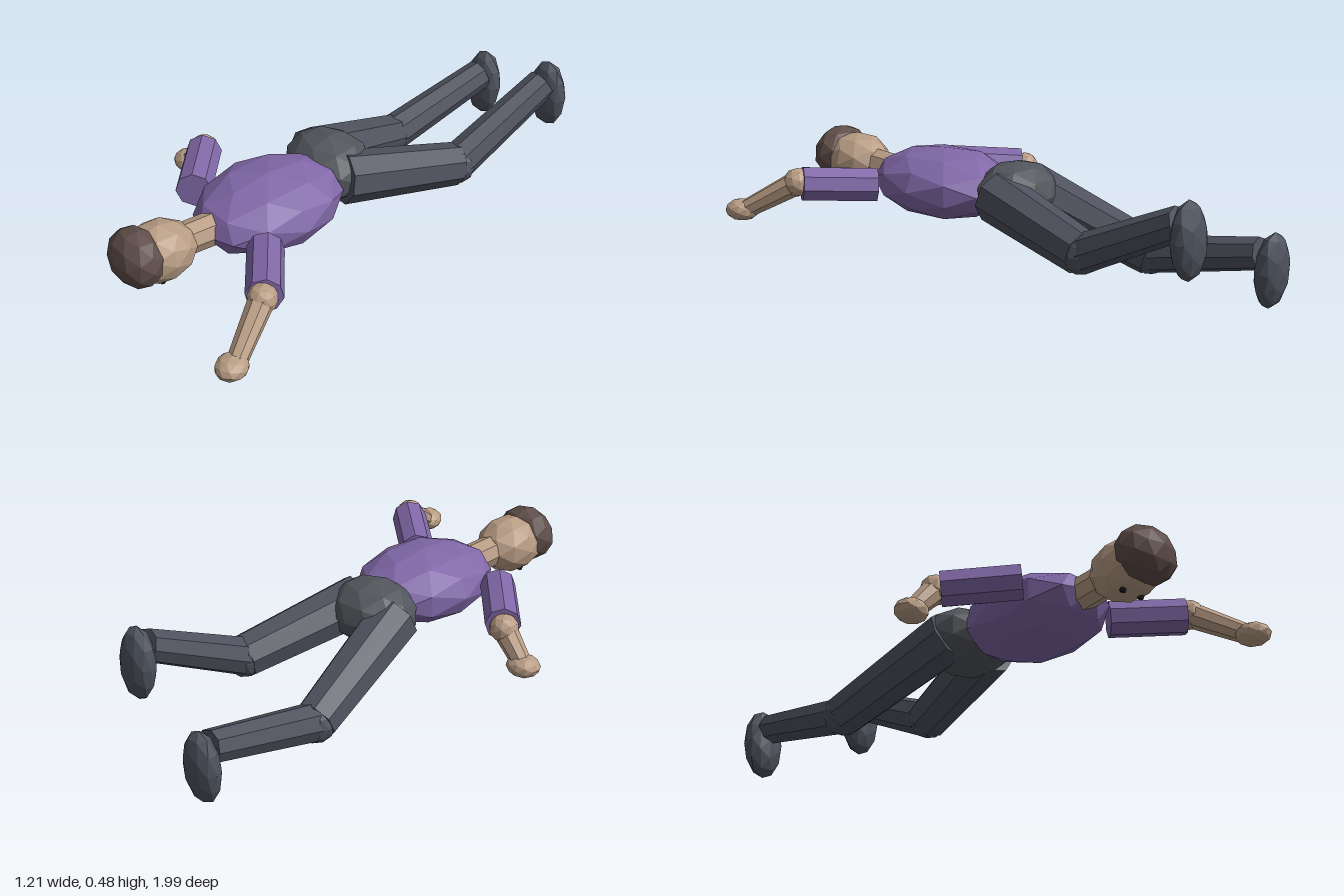
import * as THREE from 'three';

const mat = (name, color) => {
  const m = new THREE.MeshStandardMaterial({ color, flatShading: true });
  m.name = name;
  return m;
};

export function createModel() {
  const root = new THREE.Group();
  root.name = 'lyingFigure';

  const skin = mat('skin', 0xb89c84);
  const shirt = mat('purple shirt', 0x8168a8);
  const trousers = mat('dark trousers', 0x4f525e);
  const belt = mat('hip grey', 0x52565c);
  const shoe = mat('shoe grey', 0x4d525d);
  const hair = mat('brown hair', 0x5f4d49);
  const dark = mat('eye dark', 0x2a2422);

  const add = (name, geo, material, parent = root) => {
    const mesh = new THREE.Mesh(geo, material);
    mesh.name = name;
    parent.add(mesh);
    return mesh;
  };

  // Faceted ellipsoid; radii are [across, along the body, thickness]
  const blob = (name, [x, y, z], [rx, rl, rt], material, yaw = 0, pitch = Math.PI / 2, parent = root) => {
    const geo = new THREE.IcosahedronGeometry(1, 1).scale(rx, rl, rt).rotateX(pitch).rotateY(yaw);
    const m = add(name, geo, material, parent);
    m.position.set(x, y, z);
    return m;
  };

  // Eight-sided limb section running from a to b
  const limb = (name, a, b, ra, rb, material, parent = root) => {
    const A = new THREE.Vector3(...a), B = new THREE.Vector3(...b);
    const dir = B.clone().sub(A);
    const m = add(name, new THREE.CylinderGeometry(rb, ra, dir.length(), 8), material, parent);
    m.position.copy(A).add(B).multiplyScalar(0.5);
    m.quaternion.setFromUnitVectors(new THREE.Vector3(0, 1, 0), dir.normalize());
    return m;
  };

  // Trunk
  blob('torso', [0, 0.3, 0.35], [0.225, 0.295, 0.134], shirt, 0.05);
  blob('hips', [-0.06, 0.3, 0.035], [0.18, 0.15, 0.122], belt, 0.1);

  // Head, face down, with hair over the crown
  const head = new THREE.Group();
  head.name = 'head';
  root.add(head);
  limb('neck', [0, 0.3, 0.57], [0, 0.31, 0.75], 0.062, 0.06, skin, head);
  blob('face', [0, 0.308, 0.815], [0.118, 0.14, 0.11], skin, 0, Math.PI / 2, head);
  blob('hairCap', [0, 0.325, 0.908], [0.124, 0.09, 0.108], hair, 0, Math.PI / 2 - 0.1, head);
  for (const s of [-1, 1]) {
    const eye = add('eye', new THREE.SphereGeometry(0.013, 6, 4), dark, head);
    eye.position.set(s * 0.042, 0.21, 0.835);
  }

  // Arms
  const arms = [
    { side: 'left', shoulder: [0.205, 0.3, 0.51], elbow: [0.43, 0.32, 0.675], wrist: [0.54, 0.21, 0.87],
      hand: [0.543, 0.205, 0.89], yaw: 0.5 },
    { side: 'right', shoulder: [-0.22, 0.303, 0.525], elbow: [-0.43, 0.28, 0.34], wrist: [-0.54, 0.17, 0.33],
      hand: [-0.548, 0.162, 0.33], yaw: -1.3 },
  ];
  for (const a of arms) {
    const g = new THREE.Group();
    g.name = a.side + 'Arm';
    root.add(g);
    limb('sleeve', a.shoulder, a.elbow, 0.067, 0.067, shirt, g);
    const out = a.side === 'left' ? [0.01, 0.005, 0.015] : [-0.015, -0.005, -0.01];
    const e = a.elbow.map((v, i) => v + out[i]);
    blob('elbow', e, [0.055, 0.055, 0.055], skin, 0, 0, g);
    limb('forearm', e, a.wrist, 0.047, 0.036, skin, g);
    blob('hand', a.hand, [0.058, 0.066, 0.042], skin, a.yaw, Math.PI / 2, g);
  }

  // Legs, with the shins raised behind the knees
  const legs = [
    { side: 'left', hip: [0.04, 0.3, 0.05], knee: [0.125, 0.2, -0.425], ankle: [0.13, 0.395, -0.845],
      foot: [0.13, 0.338, -0.88], pitch: 0.02 },
    { side: 'right', hip: [-0.155, 0.295, 0.05], knee: [-0.275, 0.105, -0.43], ankle: [-0.285, 0.2, -0.9],
      foot: [-0.297, 0.142, -0.938], pitch: -0.06 },
  ];
  for (const l of legs) {
    const g = new THREE.Group();
    g.name = l.side + 'Leg';
    root.add(g);
    limb('thigh', l.hip, l.knee, 0.1, 0.082, trousers, g);
    blob('knee', l.knee, [0.078, 0.078, 0.074], trousers, 0, 0, g);
    limb('shin', l.knee, l.ankle, 0.072, 0.06, trousers, g);
    blob('shoe', l.foot, [0.08, 0.143, 0.056], shoe, 0, l.pitch, g);
  }

  return root;
}
